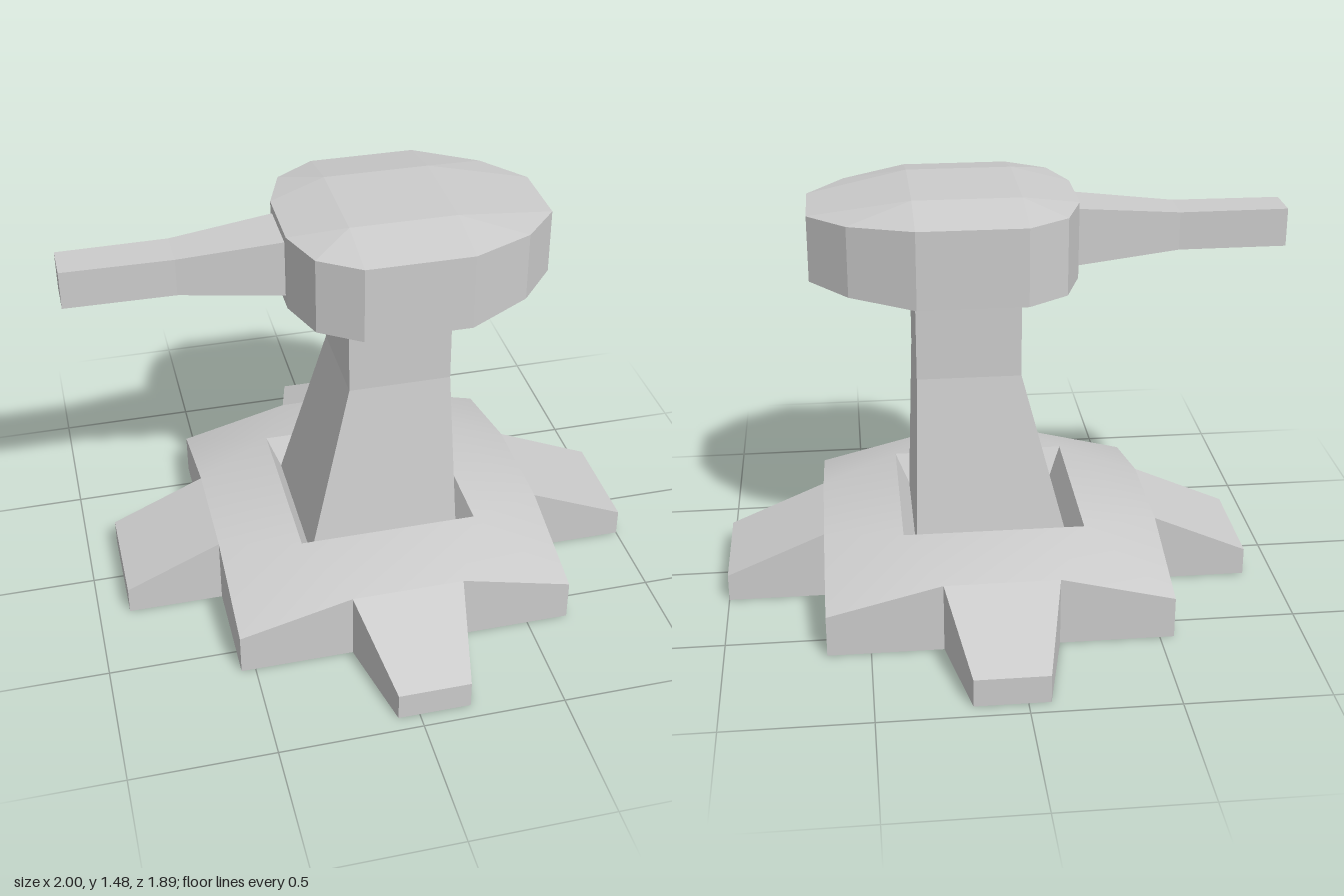
import * as THREE from 'three';
import { mergeVertices } from 'three/addons/utils/BufferGeometryUtils.js';

const material = new THREE.MeshStandardMaterial({ color: 0xcccccc });

// Fans convex polygons (counter-clockwise from outside) into a geometry.
function polygons(faces, smooth = false) {
  const pos = [];
  for (const f of faces)
    for (let i = 1; i < f.length - 1; i++) pos.push(...f[0], ...f[i], ...f[i + 1]);
  let geo = new THREE.BufferGeometry();
  geo.setAttribute('position', new THREE.Float32BufferAttribute(pos, 3));
  if (smooth) geo = mergeVertices(geo);
  geo.computeVertexNormals();
  return geo;
}

// Quads joining each closed ring to the next one.
function walls(...rings) {
  const faces = [];
  for (let r = 0; r < rings.length - 1; r++) {
    const a = rings[r], b = rings[r + 1];
    a.forEach((p, i) => {
      const j = (i + 1) % a.length;
      faces.push([p, a[j], b[j], b[i]]);
    });
  }
  return faces;
}

function part(name, geometry) {
  const mesh = new THREE.Mesh(geometry, material);
  mesh.name = name;
  return mesh;
}

// Horizontal rectangle, counter-clockwise from above.
const rect = (x0, x1, z, y) => [[x1, y, -z], [x0, y, -z], [x0, y, z], [x1, y, z]];

function createBase() {
  const base = new THREE.Group();
  base.name = 'base';
  // Half outline (back side), mirrored to the front: two foot tips, root, corner, root...
  const back = [
    [1, 0.1, -0.2], [0.65, 0.25, -0.2], [0.65, 0.15, -0.6], [0.25, 0.25, -0.6], [0.18, 0.1, -0.945],
    [-0.075, 0.1, -0.945], [-0.15, 0.25, -0.6], [-0.55, 0.15, -0.6], [-0.55, 0.25, -0.2], [-0.89, 0.1, -0.2],
  ];
  const front = back.map(([x, y, z]) => [x, y, -z]).reverse();
  const outline = [front[9], ...back, ...front.slice(0, 9)];
  const at = (i) => outline[(i + 20) % 20];

  const rim = rect(-0.27, 0.37, 0.325, 0.3);
  const floor = rect(-0.225, 0.322, 0.272, 0.2);
  const feet = [], skin = [];
  for (let k = 0; k < 4; k++) {
    const o = 5 * k, r = rim[k], q = rim[(k + 3) % 4];
    feet.push([at(o), at(o + 1), at(o + 2), at(o - 1)]);
    skin.push([at(o - 1), at(o + 2), r, q], [at(o + 2), at(o + 3), r], [at(o + 3), at(o + 4), r]);
  }
  base.add(part('footTops', polygons(feet)));
  base.add(part('baseTop', polygons(skin, true)));
  base.add(part('baseSides', polygons(walls(outline.map(([x, , z]) => [x, 0, z]), outline))));
  base.add(part('columnPocket', polygons(walls(rim, floor))));
  const shape = new THREE.Shape(outline.map(([x, , z]) => new THREE.Vector2(x, z)));
  base.add(part('baseUnderside', new THREE.ShapeGeometry(shape).rotateX(Math.PI / 2)));
  return base;
}

function createColumn() {
  return part('column', polygons(walls(
    rect(-0.225, 0.322, 0.272, 0.2),
    rect(-0.06, 0.305, 0.182, 0.83),
    rect(-0.06, 0.305, 0.178, 1.18),
  )));
}

function createHead() {
  const half = [[0.66, -0.13], [0.53, -0.28], [0.31, -0.395], [-0.06, -0.395], [-0.2, -0.3], [-0.26, -0.13]];
  const mirrored = half.map(([x, z]) => [x, -z]).reverse();
  const plan = [mirrored[5], ...half, ...mirrored.slice(0, 5)];
  // The rims converge slightly towards the +x end.
  const taper = (x) => 0.02 * Math.max(0, (x - 0.31) / 0.35);
  const lo = plan.map(([x, z]) => [x, 1.165 + taper(x), z]);
  const hi = plan.map(([x, z]) => [x, 1.435 - taper(x), z]);
  const c = rect(-0.06, 0.31, 0.185, 1.475);
  const pick = (ring, ids) => ids.map((i) => ring[i]);

  const faces = [...walls(lo, hi), c];
  // Crown slopes
  [[0, 1, 0, 3], [3, 4, 1, 0], [6, 7, 2, 1], [9, 10, 3, 2]].forEach(([a, b, d, e]) =>
    faces.push([hi[a], hi[b], c[d], c[e]]));
  [[0, 1, 2, 3], [1, 4, 5, 6], [2, 7, 8, 9], [3, 10, 11, 0]].forEach(([k, ...ids]) =>
    faces.push([c[k], ...pick(hi, ids)]));
  // Underside
  faces.push(pick(lo, [10, 9, 8, 7, 6, 5, 4, 3]), pick(lo, [3, 2, 1, 0, 11, 10]));
  return part('head', polygons(faces));
}

function createBarrel() {
  const ring = (x, y0, y1, z) => [[x, y0, z], [x, y1, z], [x, y1, -z], [x, y0, -z]];
  const tip = ring(-1, 1.235, 1.37, 0.07);
  return part('barrel', polygons([
    ...walls(ring(-0.24, 1.198, 1.405, 0.105), ring(-0.62, 1.235, 1.37, 0.074), tip),
    tip,
  ]));
}

export function createModel() {
  const model = new THREE.Group();
  model.name = 'turret';
  model.add(createBase(), createColumn(), createHead(), createBarrel());
  return model;
}
